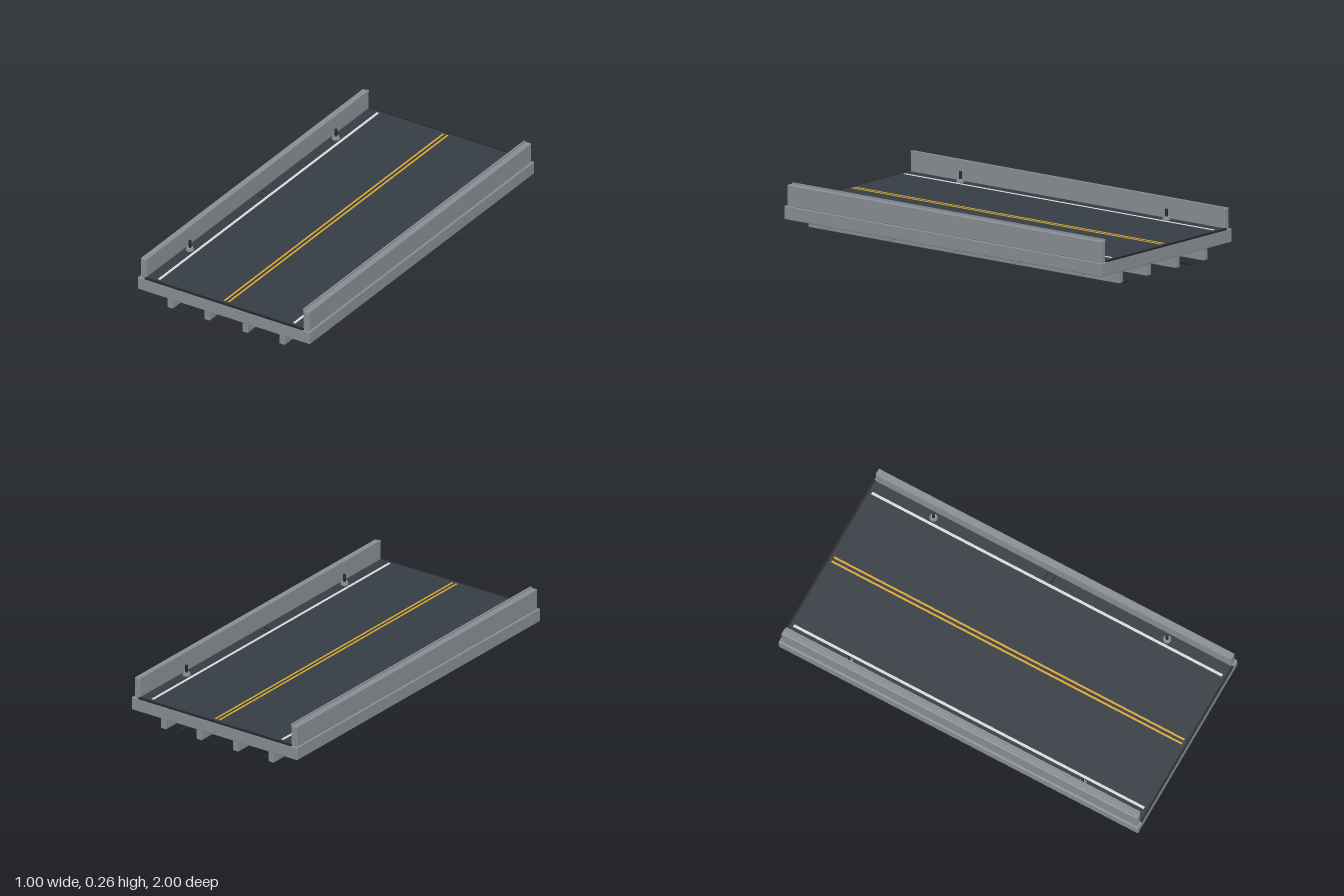
import * as THREE from 'three';
import { RoundedBoxGeometry } from 'three/addons/geometries/RoundedBoxGeometry.js';

const material = (name, color) => {
  const m = new THREE.MeshStandardMaterial({ color });
  m.name = name;
  return m;
};

export function createModel() {
  const concrete = material('concrete', 0x868d92);
  const asphalt = material('asphalt', 0x363c43);
  const darkSteel = material('dark steel', 0x25282c);
  const white = material('white paint', 0xd6d9d6);
  const yellow = material('yellow paint', 0xd6a52e);
  const bridge = new THREE.Group();
  bridge.name = 'bridgeSection';

  const add = (name, geometry, mat, x, y, z) => {
    const mesh = new THREE.Mesh(geometry, mat);
    mesh.name = name;
    mesh.position.set(x, y, z);
    bridge.add(mesh);
    return mesh;
  };
  // Box given by its x, y and z limits; a radius softens its edges
  const box = (name, mat, [x0, x1], [y0, y1], [z0, z1], radius = 0) => {
    const size = [x1 - x0, y1 - y0, z1 - z0];
    const geometry = radius
      ? new RoundedBoxGeometry(...size, 2, radius)
      : new THREE.BoxGeometry(...size);
    return add(name, geometry, mat, (x0 + x1) / 2, (y0 + y1) / 2, (z0 + z1) / 2);
  };
  const around = (c, w) => [c - w / 2, c + w / 2];

  // Deck slab and road surface
  box('deckSlab', concrete, [-0.5, 0.5], [0.083, 0.15], [-1, 1], 0.004);
  box('roadSurface', asphalt, [-0.46, 0.46], [0.149, 0.157], [-0.992, 0.992]);

  // Centre lines
  for (const x of [-0.012, 0.012])
    box('centreLine', yellow, around(x, 0.01), [0.156, 0.1585], [-0.975, 0.975]);

  // Expansion joints at the two ends
  for (const z of [-0.995, 0.995])
    box('endJoint', darkSteel, [-0.46, 0.46], [0.149, 0.1575], around(z, 0.01));

  for (const s of [-1, 1]) {
    // Edge line
    box('edgeLine', white, around(s * 0.392, 0.014), [0.156, 0.1585], [-0.975, 0.975]);

    // Parapet with a small lip along its inner top edge
    box('parapet', concrete, around(s * 0.473, 0.034), [0.149, 0.255], [-0.99, 0.99], 0.004);
    box('parapetLip', concrete, around(s * 0.4545, 0.009), [0.25, 0.261], [-0.985, 0.985]);

    // Pair of drain slots at mid span
    for (const z of [-0.025, 0.015])
      box('drainSlot', darkSteel, around(s * 0.428, 0.036), [0.156, 0.1585], around(z, 0.008));

    // Short posts on stepped round bases
    for (const z of [-0.65, 0.65]) {
      add('postFlange', new THREE.CylinderGeometry(0.02, 0.02, 0.008, 20), concrete, s * 0.425, 0.16, z);
      add('postBase', new THREE.CylinderGeometry(0.016, 0.018, 0.01, 20), concrete, s * 0.425, 0.168, z);
      add('post', new THREE.CylinderGeometry(0.0075, 0.0075, 0.038, 16), darkSteel, s * 0.425, 0.191, z);
    }

    // Service pipe slung under the deck
    const pipe = add('servicePipe', new THREE.CylinderGeometry(0.008, 0.008, 1.91, 16), darkSteel, s * 0.255, 0.0085, 0);
    pipe.rotation.x = Math.PI / 2;
  }

  // Longitudinal girders
  for (const x of [-0.326, -0.112, 0.109, 0.324])
    box('girder', concrete, around(x, 0.032), [0.019, 0.086], [-0.978, 0.978], 0.003);

  // Cross beams
  for (let i = -2; i <= 2; i++)
    box('crossBeam', concrete, [-0.44, 0.438], [0.051, 0.086], around(i * 0.4, 0.032), 0.003);

  return bridge;
}
